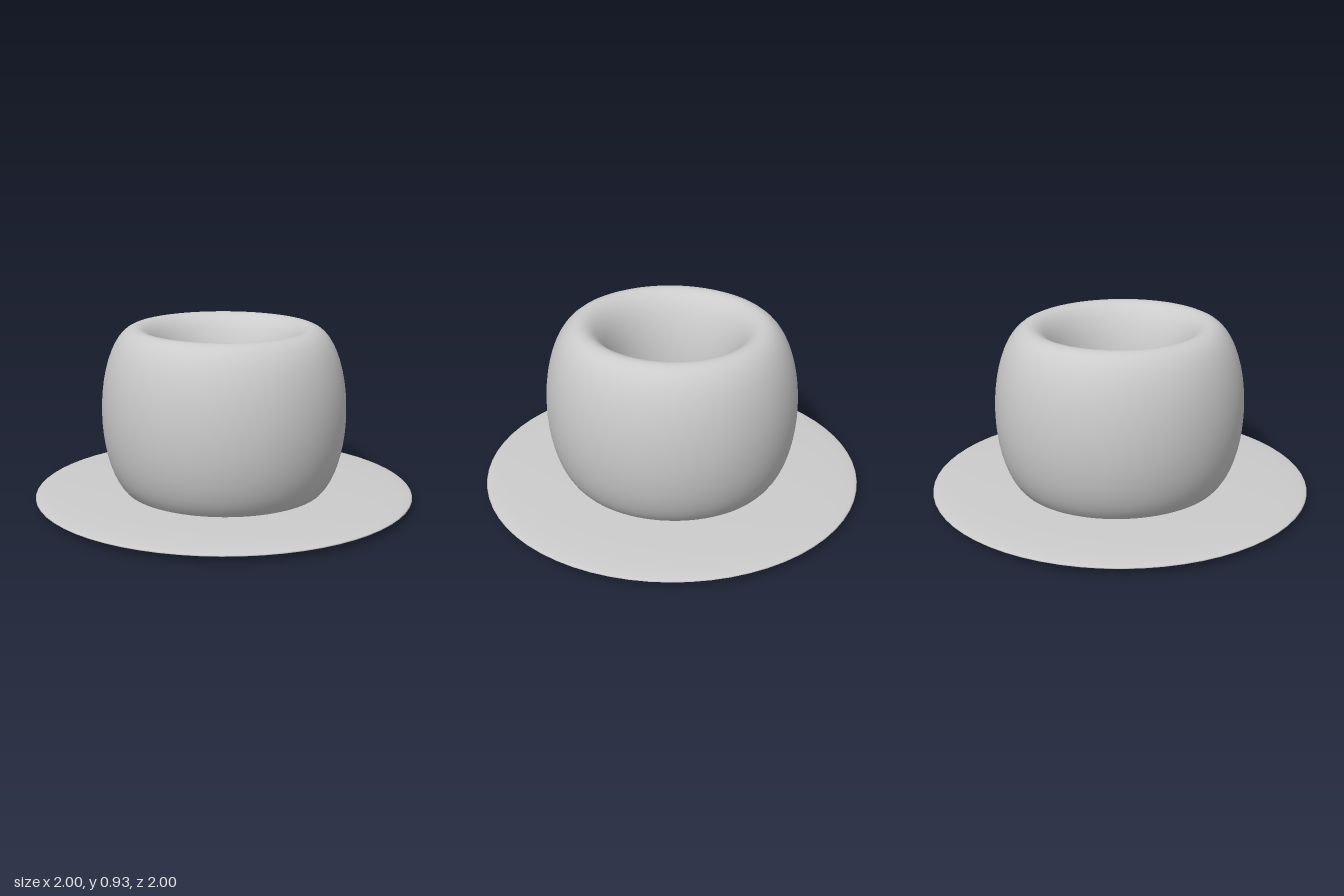
import * as THREE from 'three';

export function createModel() {
  const group = new THREE.Group();
  const material = new THREE.MeshStandardMaterial({ color: 0xcccccc });

  const add = (name, geometry, y) => {
    const mesh = new THREE.Mesh(geometry, material);
    mesh.name = name;
    mesh.position.y = y;
    group.add(mesh);
  };

  // Base plate: a sphere pressed into a thin lens
  add('basePlate', new THREE.SphereGeometry(1, 64, 32).scale(1, 0.0375, 1), 0.0375);

  // Ring body: an upright-stretched torus, slightly deeper than wide
  const ring = new THREE.TorusGeometry(0.46, 0.181, 48, 96).rotateX(Math.PI / 2);
  add('ringBody', ring.scale(1, 0.445 / 0.181, 1.035), 0.481);

  return group;
}
